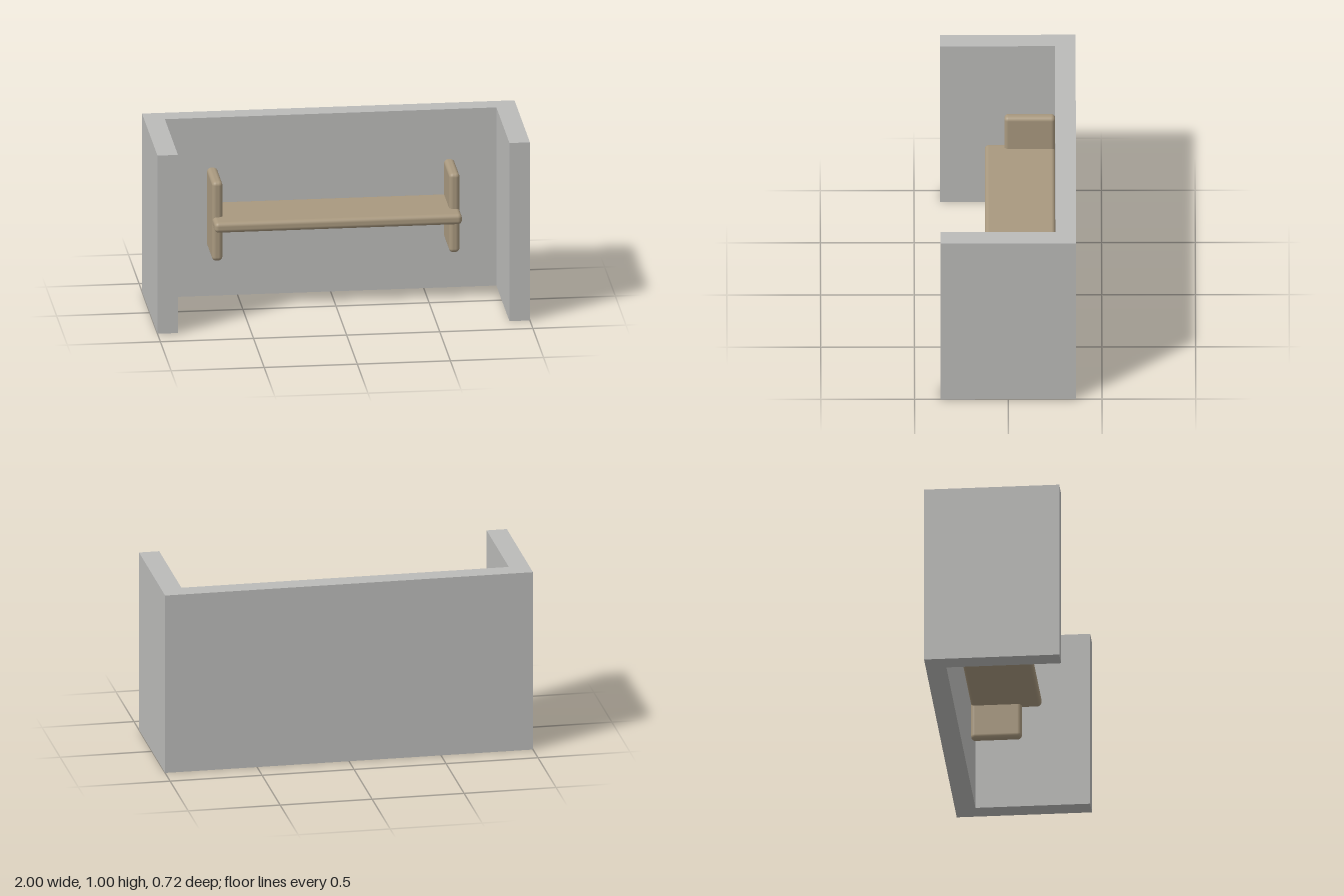
import * as THREE from 'three';
import { RoundedBoxGeometry } from 'three/addons/geometries/RoundedBoxGeometry.js';

export function createModel() {
  const model = new THREE.Group();
  model.name = 'alcoveShelf';

  const plaster = new THREE.MeshStandardMaterial({ color: 0xbbbbb9 });
  plaster.name = 'grey plaster';
  const wood = new THREE.MeshStandardMaterial({ color: 0xa9997f });
  wood.name = 'light brown wood';

  // U-shaped wall: plan outline (x, -z) extruded upwards
  const W = 1, D = 0.362, T = 0.11;
  const plan = new THREE.Shape([
    [-W, -D], [-W + T, -D], [-W + T, D - T], [W - T, D - T],
    [W - T, -D], [W, -D], [W, D], [-W, D],
  ].map(([x, y]) => new THREE.Vector2(x, y)));
  const wallGeometry = new THREE.ExtrudeGeometry(plan, { depth: 1, bevelEnabled: false });
  wallGeometry.rotateX(-Math.PI / 2);
  const wall = new THREE.Mesh(wallGeometry, plaster);
  wall.name = 'alcoveWall';
  model.add(wall);

  // Rounded board given by its minimum and maximum corners
  function addBoard(name, min, max, radius) {
    const size = max.map((v, i) => v - min[i]);
    const mesh = new THREE.Mesh(new RoundedBoxGeometry(...size, 5, radius), wood);
    mesh.position.set(...max.map((v, i) => (v + min[i]) / 2));
    mesh.name = name;
    model.add(mesh);
  }

  // Shelf board, with its back edge against the wall
  addBoard('shelfBoard', [-0.664, 0.47, -0.253], [0.664, 0.528, 0.123], 0.022);

  // Upright end plates crossing the board
  for (const [side, x] of [['left', 0.635], ['right', -0.638]]) {
    addBoard(side + 'EndPlate', [x - 0.028, 0.28, -0.253], [x + 0.028, 0.725, 0.019], 0.022);
  }

  return model;
}
